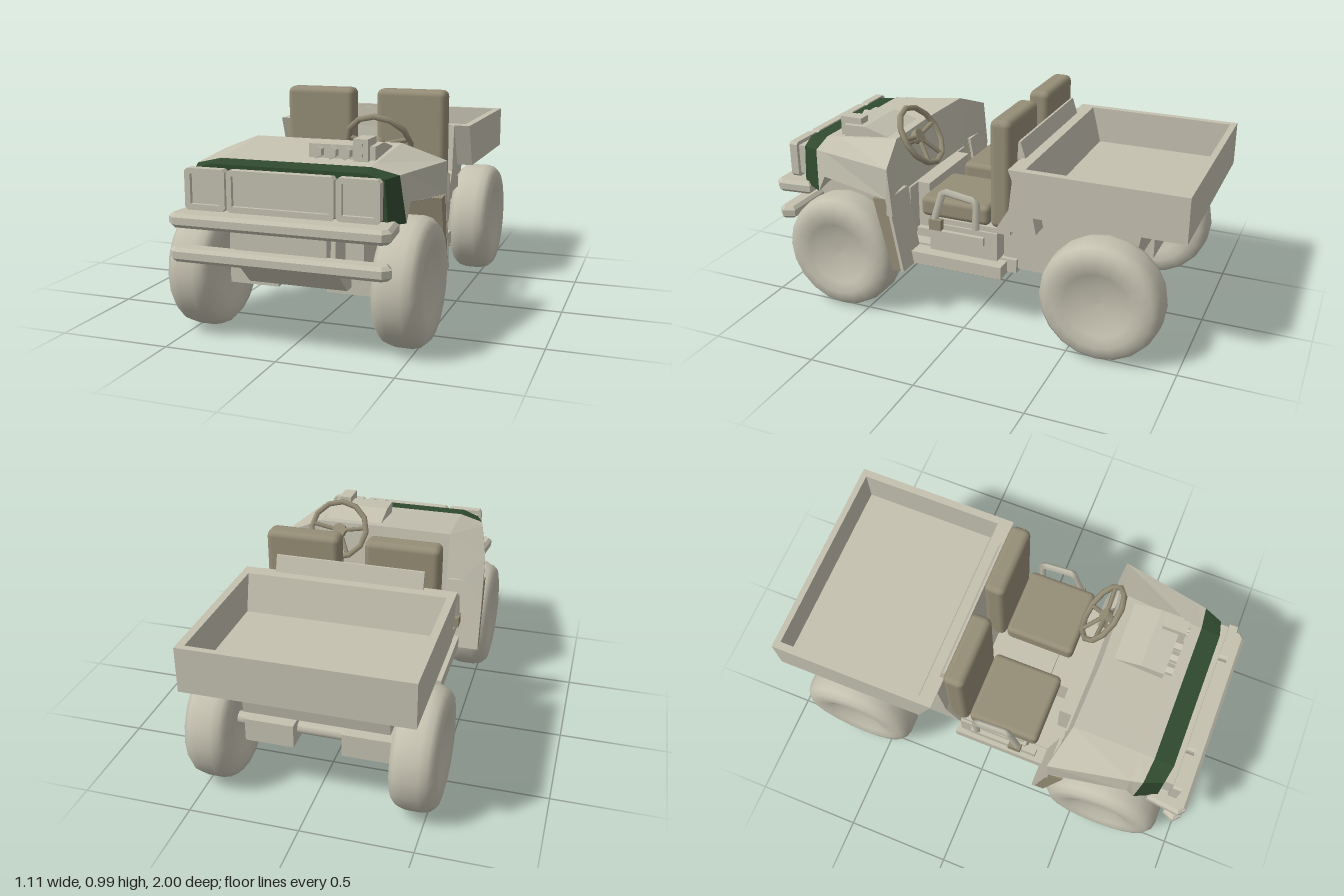
import * as THREE from 'three';
import { RoundedBoxGeometry } from 'three/addons/geometries/RoundedBoxGeometry.js';

const material = (name, color, side = THREE.FrontSide) => {
  const m = new THREE.MeshStandardMaterial({ color, side });
  m.name = name;
  return m;
};

export function createModel() {
  const root = new THREE.Group();
  root.name = 'utilityTruck';
  const body = material('stone body', 0xc4c1b0, THREE.DoubleSide);
  const tan = material('tan trim', 0x958d76, THREE.DoubleSide);
  const green = material('green nose', 0x304a2f, THREE.DoubleSide);

  const add = (name, geo, mat, x = 0, y = 0, z = 0, parent = root) => {
    const m = new THREE.Mesh(geo, mat);
    m.name = name;
    m.position.set(x, y, z);
    parent.add(m);
    return m;
  };
  // Box given by its limits
  const box = (name, mat, x0, x1, y0, y1, z0, z1) =>
    add(name, new THREE.BoxGeometry(Math.abs(x1 - x0), y1 - y0, z1 - z0), mat,
      (x0 + x1) / 2, (y0 + y1) / 2, (z0 + z1) / 2);
  const shapeOf = (pts) => new THREE.Shape(pts.map(([a, b]) => new THREE.Vector2(a, b)));
  const extrude = (shape, depth) => new THREE.ExtrudeGeometry(shape, { depth, bevelEnabled: false });
  // Side outline [z, y] extruded across x
  const profile = (name, mat, pts, x0, x1) => {
    const g = extrude(shapeOf(pts.map(([z, y]) => [-z, y])), Math.abs(x1 - x0));
    return add(name, g.rotateY(Math.PI / 2), mat, Math.min(x0, x1));
  };
  // Sheet through rows of points, flat shaded
  const loft = (name, mat, rows) => {
    const p = [];
    for (let i = 0; i < rows.length - 1; i++)
      for (let j = 0; j < rows[i].length - 1; j++) {
        const a = rows[i][j], b = rows[i][j + 1], c = rows[i + 1][j + 1], d = rows[i + 1][j];
        p.push(...a, ...b, ...c, ...a, ...c, ...d);
      }
    const g = new THREE.BufferGeometry();
    g.setAttribute('position', new THREE.Float32BufferAttribute(p, 3));
    g.computeVertexNormals();
    return add(name, g, mat);
  };
  const mirrored = (half) => [...half.slice(1).reverse().map(([x, y, z]) => [-x, y, z]), ...half];
  const tube = (name, mat, pts, r, sides, parent = root) => {
    const path = new THREE.CurvePath();
    for (let i = 0; i < pts.length - 1; i++)
      path.add(new THREE.LineCurve3(new THREE.Vector3(...pts[i]), new THREE.Vector3(...pts[i + 1])));
    return add(name, new THREE.TubeGeometry(path, (pts.length - 1) * 6, r, sides), mat, 0, 0, 0, parent);
  };

  // Wheels: rounded tyre with dished faces
  const rim = [[0, 0.06], [0.09, 0.064], [0.15, 0.09], [0.2, 0.102], [0.245, 0.094], [0.268, 0.07], [0.277, 0.035]];
  const wheelProfile = [...rim.map(([r, w]) => [r, -w]), ...rim.slice().reverse()]
    .map(([r, w]) => new THREE.Vector2(r, w));
  const wheelGeo = new THREE.LatheGeometry(wheelProfile, 20).rotateZ(-Math.PI / 2);
  for (const [end, z] of [['front', 0.63], ['rear', -0.645]]) {
    for (const s of [1, -1]) {
      add(end + 'Wheel', wheelGeo, body, s * 0.453, 0.28, z);
      box(end + 'AxleMount', body, s * 0.11, s * 0.335, 0.22, 0.33, z - 0.08, z + 0.08);
    }
    add(end + 'Axle', new THREE.CylinderGeometry(0.03, 0.03, 0.8, 8).rotateZ(Math.PI / 2), body, 0, 0.28, z);
  }

  // Chassis
  profile('frontKeel', body, [[0.88, 0.57], [0.9, 0.38], [0.76, 0.25], [0.3, 0.25], [0.3, 0.57]], -0.22, 0.22);
  profile('engineBay', body, [[0.78, 0.57], [0.78, 0.34], [0.36, 0.3], [0.36, 0.57]], -0.3, 0.3);
  box('floor', body, -0.35, 0.35, 0.255, 0.32, -0.2, 0.36);
  profile('rearChassis', body, [[-0.13, 0.49], [-0.13, 0.27], [-0.5, 0.27], [-0.54, 0.38], [-0.74, 0.38],
    [-0.78, 0.6], [-0.28, 0.62], [-0.2, 0.6], [-0.19, 0.49]], -0.33, 0.33);
  box('seatBase', body, -0.41, 0.41, 0.33, 0.465, -0.13, 0.205);
  box('seatDeck', body, -0.4, 0.4, 0.465, 0.49, -0.19, 0.19);
  box('tunnel', body, -0.08, 0.1, 0.32, 0.5, 0.2, 0.38);

  for (const s of [1, -1]) {
    box('runningBoard', body, s * 0.3, s * 0.43, 0.25, 0.31, -0.155, 0.3);
    box('sideRail', body, s * 0.4, s * 0.43, 0.4, 0.44, -0.07, 0.26);
    // Seat side guard
    const x = s * 0.43;
    tube('sideGuard', body, [[x, 0.48, 0.175], [x, 0.64, 0.125], [x, 0.615, -0.04], [x, 0.48, -0.035]], 0.018, 4);
    box('guardFoot', tan, s * 0.42, s * 0.45, 0.45, 0.5, 0.13, 0.19);
    // Seats
    add('seatCushion', new RoundedBoxGeometry(0.34, 0.095, 0.34, 2, 0.025), tan, s * 0.232, 0.535, 0.085);
    add('seatBack', new RoundedBoxGeometry(0.347, 0.51, 0.1, 2, 0.03), tan, s * 0.232, 0.742, -0.14);
  }

  // Hood and nose, from front to back
  const nose = mirrored([[0, 0.768, 0.87], [0.33, 0.768, 0.87], [0.41, 0.745, 0.855], [0.425, 0.565, 0.855]]);
  const brow = mirrored([[0, 0.778, 0.78], [0.33, 0.778, 0.78], [0.445, 0.75, 0.77], [0.47, 0.555, 0.755]]);
  const arch = mirrored([[0, 0.785, 0.715], [0.33, 0.785, 0.715], [0.457, 0.75, 0.715], [0.475, 0.635, 0.715]]);
  const cowl = mirrored([[0, 0.82, 0.41], [0.34, 0.82, 0.4], [0.53, 0.745, 0.35], [0.53, 0.6, 0.36]]);
  const dash = mirrored([[0, 0.5, 0.365], [0.34, 0.5, 0.36], [0.53, 0.52, 0.33], [0.53, 0.52, 0.36]]);
  loft('noseBand', green, [nose.map(([x, , z]) => [x, 0.565, z]), nose, brow]);
  loft('hood', body, [brow, arch, cowl, dash]);
  for (const s of [1, -1]) {
    loft('fenderLiner', body, [
      [[s * 0.3, 0.55, 0.79], [s * 0.3, 0.58, 0.715], [s * 0.3, 0.58, 0.37]],
      [[s * 0.47, 0.555, 0.755], [s * 0.475, 0.635, 0.715], [s * 0.53, 0.6, 0.37]]]);
    profile('fenderFlap', tan, [[0.43, 0.595], [0.36, 0.6], [0.3, 0.25], [0.345, 0.25]], s * 0.35, s * 0.528);
    profile('fenderBack', body, [[0.365, 0.6], [0.35, 0.6], [0.285, 0.25], [0.3, 0.25]], s * 0.35, s * 0.53);
  }

  // Grille: framed panels with recessed centres
  const panel = (name, x0, x1, border) => {
    const y0 = 0.585, y1 = 0.758, c = 0.012;
    const shape = shapeOf([[x0 + c, y0], [x1 - c, y0], [x1, y0 + c], [x1, y1 - c], [x1 - c, y1], [x0 + c, y1],
      [x0, y1 - c], [x0, y0 + c]]);
    const hx0 = x0 + border, hx1 = x1 - border;
    shape.holes.push(new THREE.Path([[hx0, 0.61], [hx0, 0.735], [hx1, 0.735], [hx1, 0.61]]
      .map(([x, y]) => new THREE.Vector2(x, y))));
    add(name + 'Frame', extrude(shape, 0.04), body, 0, 0, 0.897);
    box(name + 'Inset', body, hx0, hx1, 0.61, 0.735, 0.9, 0.92);
  };
  panel('grille', -0.23, 0.23, 0.022);
  panel('leftLamp', 0.238, 0.418, 0.025);
  panel('rightLamp', -0.418, -0.238, 0.025);
  box('grilleMount', body, -0.4, 0.4, 0.6, 0.74, 0.86, 0.9);

  // Bumpers with chamfered ends
  const bumper = (name, y, h, zBack) => {
    const w = 0.46, zf = 0.985;
    const g = new THREE.ExtrudeGeometry(shapeOf([[-w, -zf + 0.02], [-w + 0.02, -zf], [w - 0.02, -zf], [w, -zf + 0.02],
      [w - 0.015, -zBack], [-w + 0.015, -zBack]]),
    { depth: h - 0.03, bevelEnabled: true, bevelSize: 0.015, bevelThickness: 0.015, bevelSegments: 1 });
    add(name, g.rotateX(-Math.PI / 2), body, 0, y + 0.015, 0);
  };
  bumper('upperBumper', 0.518, 0.06, 0.83);
  bumper('lowerBumper', 0.375, 0.06, 0.93);
  box('bumperBracket', body, -0.2, 0.2, 0.39, 0.53, 0.86, 0.94);

  // Hood intake with hexagonal pipes
  profile('intake', body, [[0.69, 0.78], [0.69, 0.845], [0.58, 0.848], [0.45, 0.812], [0.45, 0.78]], 0.028, 0.318);
  box('intakeBox', body, 0.233, 0.295, 0.785, 0.877, 0.61, 0.72);
  const hex = (x, y, z, r, len) => add('hexPipe',
    new THREE.CylinderGeometry(r, r, len, 6).toNonIndexed().rotateX(Math.PI / 2), body, x, y, z).geometry.computeVertexNormals();
  for (const x of [0.072, 0.135, 0.195]) hex(x, 0.815, 0.7, 0.027, 0.05);
  for (const y of [0.812, 0.854]) hex(0.264, y, 0.722, 0.012, 0.02);

  // Steering wheel and column
  const steering = new THREE.Group();
  steering.name = 'steering';
  steering.position.set(0.218, 0.81, 0.335);
  steering.rotation.x = 0.58;
  root.add(steering);
  add('steeringRim', new THREE.TorusGeometry(0.143, 0.014, 6, 12), tan, 0, 0, 0, steering);
  add('steeringHub', new THREE.CylinderGeometry(0.035, 0.035, 0.03, 8).rotateX(Math.PI / 2), tan, 0, 0, 0.02, steering);
  for (const a of [0.15, Math.PI - 0.15, -1.1, Math.PI + 1.1])
    tube('spoke', tan, [[0, 0, 0.02], [0.143 * Math.cos(a), 0.143 * Math.sin(a), 0]], 0.011, 5, steering);
  add('steeringColumn', new THREE.CylinderGeometry(0.018, 0.018, 0.18, 8).rotateX(Math.PI / 2), tan, 0, 0, 0.1, steering);

  // Cargo bed
  const bedSide = [[-0.218, 0.82], [-0.295, 0.615], [-1, 0.615], [-1, 0.82]];
  for (const s of [1, -1]) profile('bedSide', body, bedSide, s * 0.46, s * 0.495);
  box('bedTail', body, -0.46, 0.46, 0.615, 0.82, -1, -0.972);
  profile('bedFront', body, [[-0.218, 0.82], [-0.295, 0.615], [-0.335, 0.615], [-0.285, 0.82]], -0.46, 0.46);
  box('bedFloor', body, -0.46, 0.46, 0.615, 0.645, -0.975, -0.3);
  profile('bedHeadboard', body, [[-0.205, 0.895], [-0.2, 0.8], [-0.245, 0.8], [-0.215, 0.895]], -0.345, 0.345);
  profile('cabBack', body, [[-0.215, 0.82], [-0.19, 0.6], [-0.125, 0.49], [-0.32, 0.5], [-0.3, 0.6]], -0.42, 0.42);
  return root;
}
